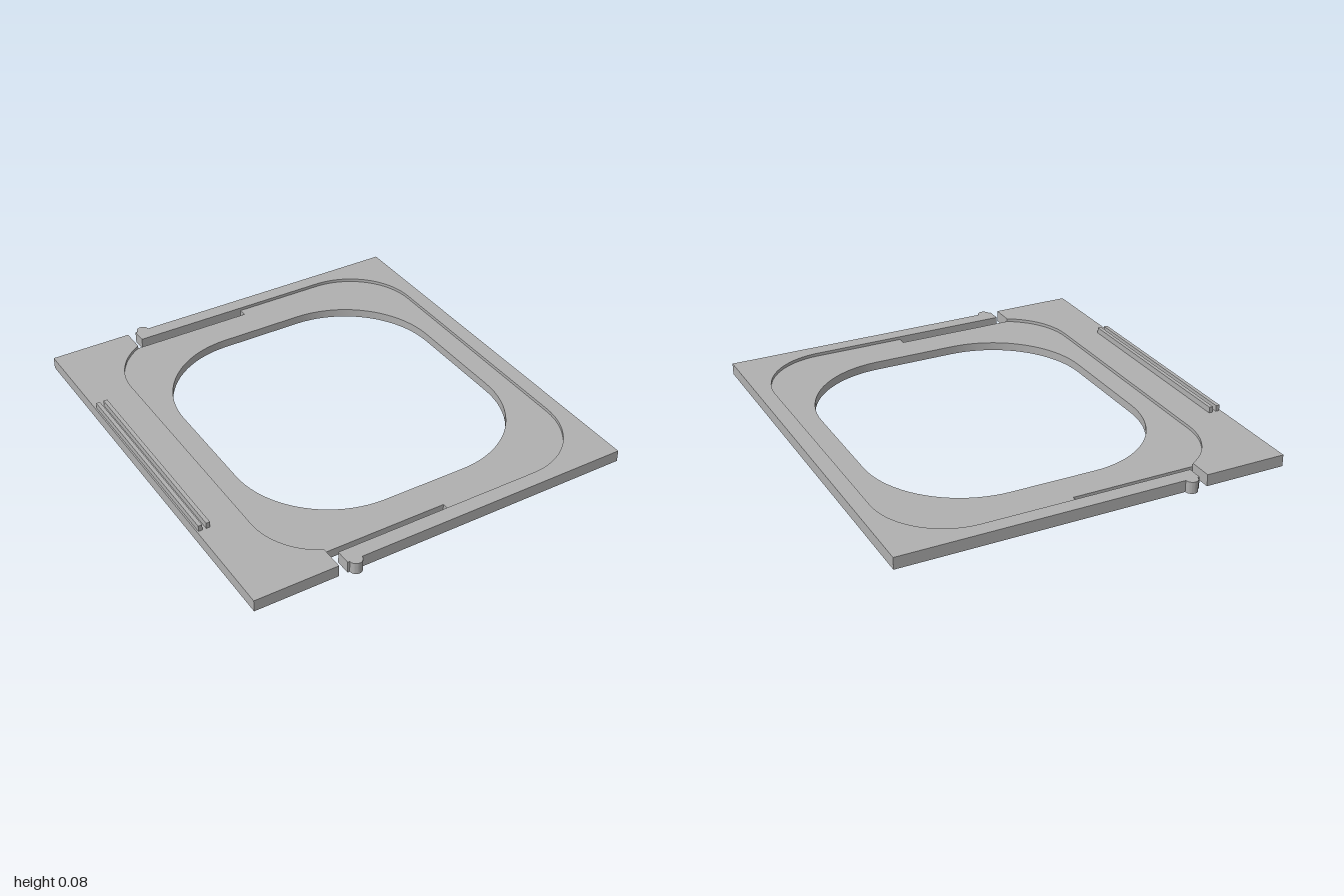
import * as THREE from 'three';
import { toCreasedNormals } from 'three/addons/utils/BufferGeometryUtils.js';

const W = 0.908, D = 0.971;          // half width and half depth of the plate
const FLOOR = 0.04, TOP = 0.055;     // recess floor and plate top
const SLOT_IN = 0.86, ARM_IN = 0.9;  // inner edge of slot, inner edge of arm
const SLOT_L = -0.521, ARM_TIP = -0.481, SLOT_R = 0.06;

const arc = (cx, cy, r, a0, a1, n = 20) => Array.from({ length: n + 1 }, (_, i) => {
  const a = a0 + (a1 - a0) * i / n;
  return [cx + r * Math.cos(a), cy + r * Math.sin(a)];
});

// Closes a half outline by mirroring it front to back
function mirrored(half) {
  const all = [...half, ...half.map(([x, y]) => [x, -y]).reverse()];
  return all.map(([x, y]) => new THREE.Vector2(x, y));
}

// Extrudes a plan outline upward from y0 to y1
function slab(shape, y0, y1) {
  const g = new THREE.ExtrudeGeometry(shape, { depth: y1 - y0, bevelEnabled: false });
  g.rotateX(-Math.PI / 2);
  g.translate(0, y0, 0);
  return toCreasedNormals(g, 0.5);
}

export function createModel() {
  const model = new THREE.Group();
  model.name = 'framePlate';
  const grey = new THREE.MeshStandardMaterial({ color: 0xb0b0b0 });
  grey.name = 'grey';
  const add = (name, geometry) => {
    const mesh = new THREE.Mesh(geometry, grey);
    mesh.name = name;
    model.add(mesh);
    return mesh;
  };

  // Spring arm edge with its rounded catch, from the right corner to the slot end
  const armEdge = [
    [W, D], ...arc(-0.442, D, 0.029, 0, Math.PI, 16),
    [ARM_TIP, D], [ARM_TIP, ARM_IN], [SLOT_R, ARM_IN],
  ];

  // Base plate with slots and the large rounded opening
  const base = new THREE.Shape(mirrored([
    ...armEdge, [SLOT_R, SLOT_IN], [SLOT_L, SLOT_IN], [SLOT_L, D], [-W, D],
  ]));
  base.holes.push(new THREE.Path(mirrored([
    ...arc(0.27, 0.245, 0.46, 0, Math.PI / 2),
    ...arc(-0.13, 0.245, 0.46, Math.PI / 2, Math.PI),
  ])));
  add('basePlate', slab(base, 0, FLOOR));

  // Raised rim on the right, including both spring arms
  add('rightRim', slab(new THREE.Shape(mirrored([
    ...armEdge, ...arc(0.5, 0.565, 0.335, Math.PI / 2, 0),
  ].reverse())), FLOOR, TOP));

  // Raised rim on the left, ending at the slot openings
  const cx = -0.36, cz = 0.565, r = 0.335;
  const end = Math.acos((SLOT_L - cx) / r);
  add('leftRim', slab(new THREE.Shape(mirrored([
    [-W, D], [SLOT_L, D], ...arc(cx, cz, r, end, Math.PI),
  ])), FLOOR, TOP));

  // Pair of grip ribs
  for (const x of [-0.892, -0.856]) {
    add('gripRib', new THREE.BoxGeometry(0.018, 0.028, 0.995)).position.set(x, TOP + 0.014, 0);
  }
  return model;
}
